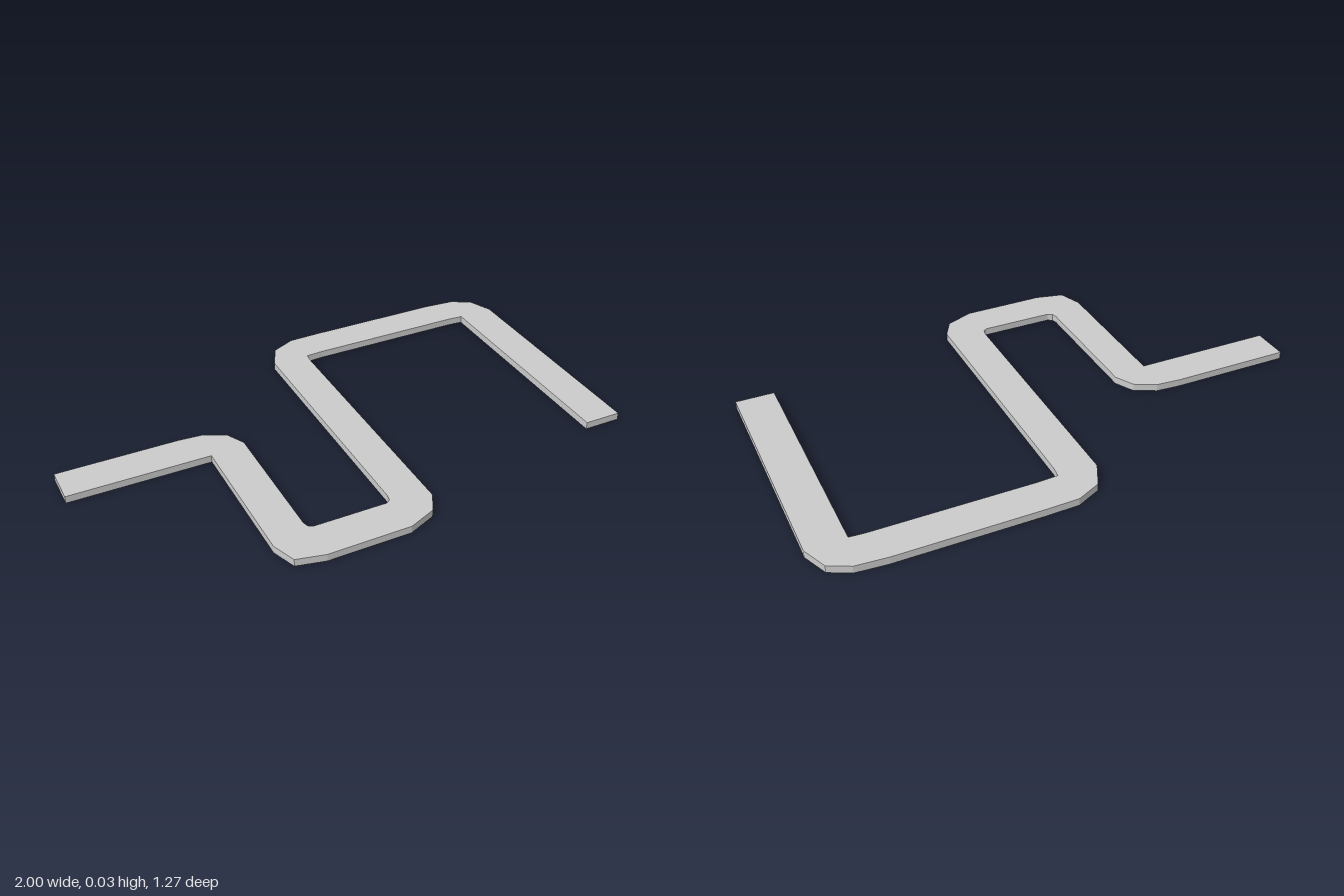
import * as THREE from 'three';

const HEIGHT = 0.028;

// Plan outline of the strip as [x, z]
const SIDE_A = [ // back-left end to front-right end, along the back/left edge
  [-1, -0.167], [-0.54, -0.167], [-0.45, -0.16], [-0.37, -0.12], [-0.333, -0.05],
  [-0.332, 0.455], [-0.326, 0.476], [-0.308, 0.486],
  [-0.035, 0.486], [-0.02, 0.475], [-0.015, 0.45],
  [-0.014, -0.5], [0.03, -0.59], [0.12, -0.632], [0.24, -0.635],
  [0.77, -0.635], [0.885, -0.626], [0.96, -0.588], [1, -0.495], [1, 0.397],
];
const SIDE_B = [ // and back again along the other edge
  [0.857, 0.397], [0.857, -0.493], [0.8, -0.497], [0.2, -0.497], [0.13, -0.493], [0.125, -0.45],
  [0.125, 0.515], [0.085, 0.587], [-0.02, 0.63],
  [-0.33, 0.632], [-0.435, 0.608], [-0.468, 0.52],
  [-0.468, -0.026], [-1, -0.026],
];

export function createModel() {
  const group = new THREE.Group();
  group.name = 'windingPath';

  // Flat strip with chamfered bends, extruded upwards
  const outline = [...SIDE_A, ...SIDE_B].map(([x, z]) => new THREE.Vector2(x, -z));
  const geometry = new THREE.ExtrudeGeometry(new THREE.Shape(outline), {
    depth: HEIGHT, bevelEnabled: false,
  });
  geometry.rotateX(-Math.PI / 2);

  const path = new THREE.Mesh(
    geometry,
    new THREE.MeshStandardMaterial({ color: 0xcccccc, flatShading: true }),
  );
  path.name = 'pathStrip';
  group.add(path);
  return group;
}
